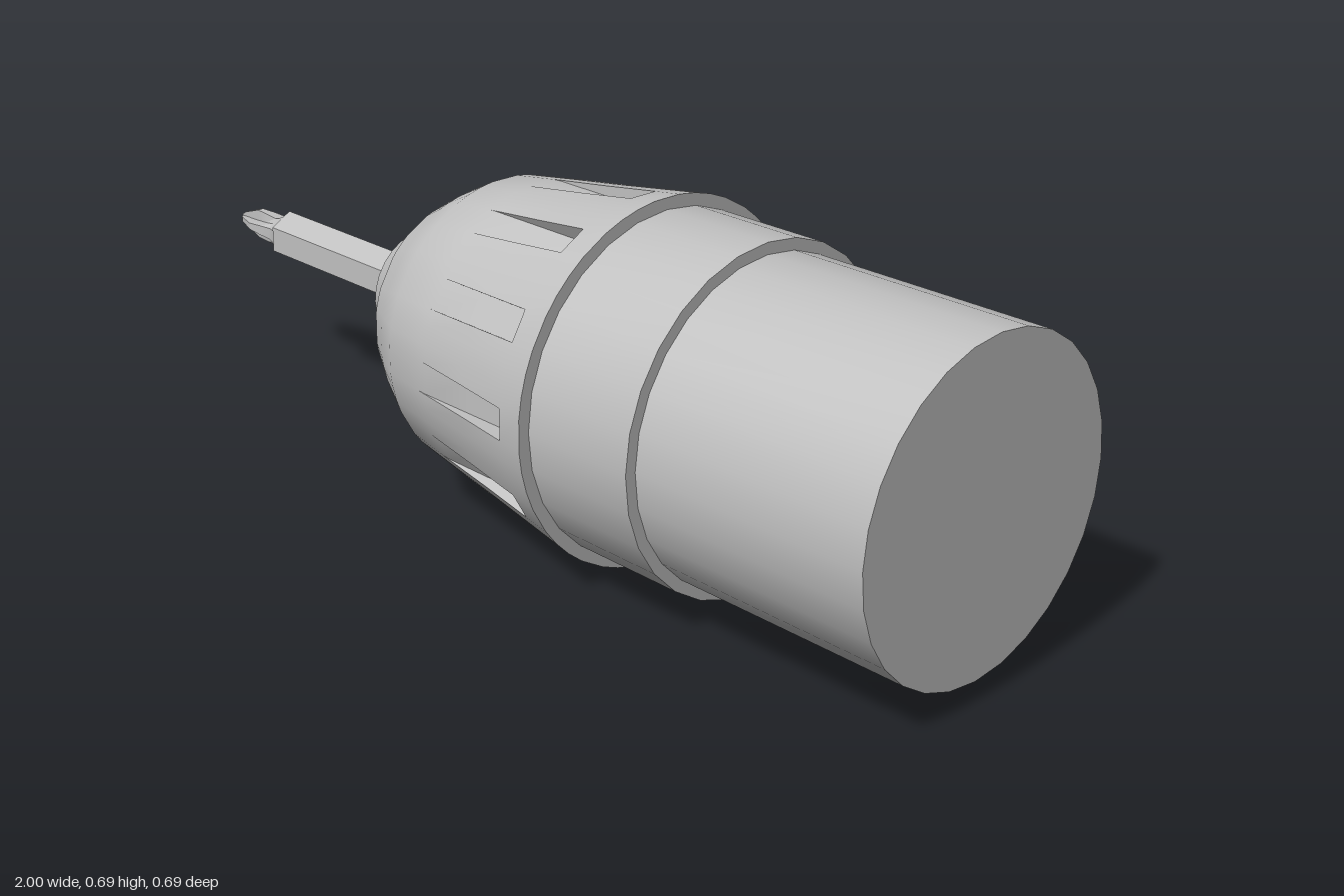
import * as THREE from 'three';
import { toCreasedNormals } from 'three/addons/utils/BufferGeometryUtils.js';

const metal = new THREE.MeshStandardMaterial({ color: 0xc0c0c0 });
metal.name = 'grey metal';

function part(name, geometry, crease = 0.5) {
  const mesh = new THREE.Mesh(toCreasedNormals(geometry, crease), metal);
  mesh.name = name;
  return mesh;
}

// Turned part around the x axis from [x, radius] points, running towards +x
function turned(name, profile, segments = 28) {
  const points = profile.map(([x, r]) => new THREE.Vector2(r, x));
  return part(name, new THREE.LatheGeometry(points, segments).rotateZ(-Math.PI / 2));
}

// Skin closed rings of points, ordered towards +x, leaving out empty triangles
function skin(rings) {
  const positions = [];
  const tri = new THREE.Triangle();
  const add = (a, b, c) => {
    if (tri.set(a, b, c).getArea() < 1e-8) return;
    for (const p of [a, b, c]) positions.push(p.x, p.y, p.z);
  };
  for (let i = 0; i < rings.length - 1; i++) {
    const n = rings[i].length;
    for (let j = 0; j < n; j++) {
      const k = (j + 1) % n;
      add(rings[i][j], rings[i][k], rings[i + 1][j]);
      add(rings[i][k], rings[i + 1][k], rings[i + 1][j]);
    }
  }
  const geometry = new THREE.BufferGeometry();
  geometry.setAttribute('position', new THREE.Float32BufferAttribute(positions, 3));
  geometry.computeVertexNormals();
  return geometry;
}

// Point given by its normal and tangential offset from the axis, turned by angle
function polar(x, n, t, angle) {
  const c = Math.cos(angle), s = Math.sin(angle);
  return new THREE.Vector3(x, n * c - t * s, n * s + t * c);
}

// Sleeve with twelve flat-floored grip slots
function gripSleeve() {
  const half = 0.03, floor = 0.3, count = 12;
  const stations = [
    [-0.275, 0.18, false], [-0.275, 0.21, false], [-0.21, 0.249, false],
    [-0.14, 0.285, false], [-0.04, 0.3, true], [-0.02, 0.303, true],
    [0.1, 0.32, true], [0.225, 0.339, true], [0.225, 0.339, false],
    [0.285, 0.348, false], [0.285, 0.3, false],
  ];
  const rings = stations.map(([x, r, slotted]) => {
    const ring = [];
    for (let i = 0; i < count; i++) {
      const angle = (i / count) * Math.PI * 2;
      const top = Math.sqrt(r * r - half * half);
      const low = slotted ? Math.min(top, floor) : top;
      ring.push(
        polar(x, top, -half, angle), polar(x, low, -half, angle),
        polar(x, low, half, angle), polar(x, top, half, angle),
        polar(x, r, 0, angle + 0.205), polar(x, r, 0, angle + 0.319),
      );
    }
    return ring;
  });
  return part('gripSleeve', skin(rings), 0.4);
}

// Cross-shaped driver tip: four blades with valleys between them
function driverTip() {
  const stations = [ // x, blade radius, blade half width, valley radius
    [-1, 0, 0, 0], [-0.998, 0.006, 0.003, 0.004], [-0.985, 0.014, 0.005, 0.007],
    [-0.935, 0.031, 0.007, 0.012], [-0.9, 0.031, 0.01, 0.018],
    [-0.865, 0.03, 0.012, 0.028], [-0.85, 0.034, 0.014, 0.034],
    [-0.825, 0.046, 0.018, 0.046],
  ];
  const rings = stations.map(([x, blade, half, valley]) => {
    const ring = [];
    for (let i = 0; i < 4; i++) {
      const angle = (i * Math.PI) / 2;
      ring.push(
        polar(x, blade, -half, angle), polar(x, blade, half, angle),
        polar(x, valley, 0, angle + Math.PI / 4),
      );
    }
    return ring;
  });
  return part('driverTip', skin(rings), 0.3);
}

export function createModel() {
  const model = new THREE.Group();
  model.name = 'drillChuckWithBit';

  // Main body
  model.add(turned('rearBarrel', [[0.5, 0.303], [1, 0.303], [1, 0]]));
  model.add(turned('middleRing', [[0.27, 0.325], [0.52, 0.325], [0.52, 0.29]]));
  model.add(gripSleeve());

  // Hollow conical nose
  model.add(turned('nose', [
    [-0.27, 0], [-0.27, 0.09], [-0.385, 0.09], [-0.39, 0.095],
    [-0.39, 0.12], [-0.275, 0.19], [-0.265, 0.19],
  ]));

  // Three clamping jaws around the bit
  for (let i = 0; i < 3; i++) {
    const jaw = new THREE.BoxGeometry(0.1, 0.035, 0.04);
    jaw.translate(-0.315, 0.064, 0).rotateX((i / 3) * Math.PI * 2);
    model.add(part('jaw', jaw));
  }

  // Driver bit
  const shank = new THREE.CylinderGeometry(0.052, 0.052, 0.56, 6);
  shank.rotateZ(-Math.PI / 2).rotateX(Math.PI / 2);
  shank.computeBoundingBox();
  // Put a hexagon corner at the top
  if (shank.boundingBox.max.y < 0.05) shank.rotateX(Math.PI / 6);
  shank.translate(-0.55, 0, 0);
  model.add(part('bitShank', shank, 0.3));
  model.add(driverTip());

  for (const child of model.children) child.position.y = 0.35;
  return model;
}
